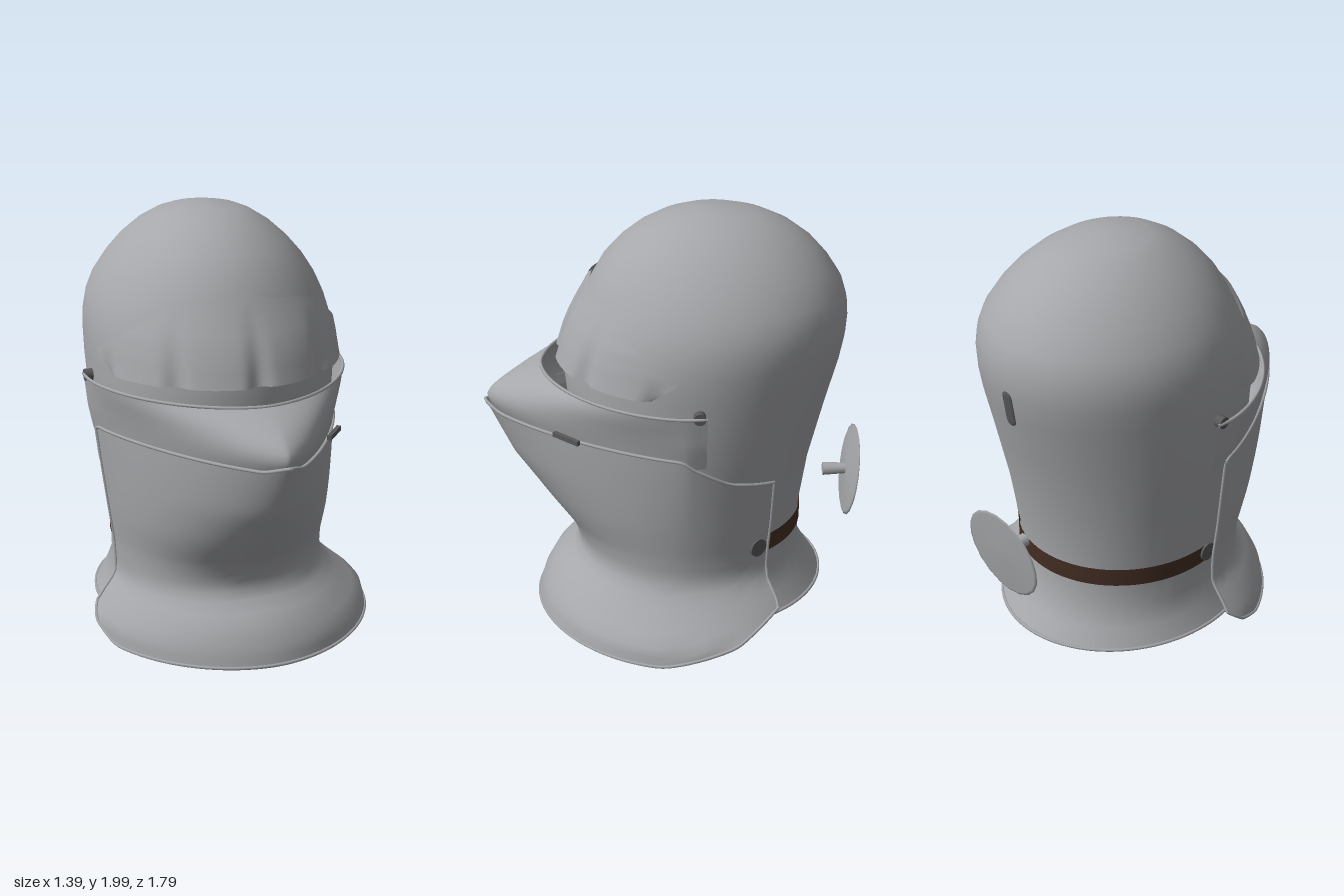
import * as THREE from 'three';
import { mergeVertices } from 'three/addons/utils/BufferGeometryUtils.js';

const DEG = Math.PI / 180;

// Linear lookup in rows [key, value, value...] sorted by rising key
function lookup(rows, key) {
  if (key <= rows[0][0]) return rows[0].slice(1);
  for (let i = 1; i < rows.length; i++) {
    const a = rows[i - 1], b = rows[i];
    if (key <= b[0]) {
      const t = (key - a[0]) / (b[0] - a[0]);
      return a.slice(1).map((v, k) => v + (b[k + 1] - v) * t);
    }
  }
  return rows[rows.length - 1].slice(1);
}

// Smooth sheet from point(u, v) -> [x, y, z]
function sheet(nu, nv, point) {
  const pos = [], index = [];
  for (let j = 0; j <= nv; j++)
    for (let i = 0; i <= nu; i++) pos.push(...point(i / nu, j / nv));
  for (let j = 0; j < nv; j++)
    for (let i = 0; i < nu; i++) {
      const a = j * (nu + 1) + i, b = a + 1, c = a + nu + 1, d = c + 1;
      index.push(a, b, d, a, d, c);
    }
  let geo = new THREE.BufferGeometry();
  geo.setAttribute('position', new THREE.Float32BufferAttribute(pos, 3));
  geo.setIndex(index);
  geo = mergeVertices(geo, 1e-5);
  geo.computeVertexNormals();
  return geo;
}

// Skull sections: y, back z, front z, half width
const SKULL = [
  [0.11, -0.73, 0.56, 0.57], [0.2, -0.67, 0.48, 0.52], [0.3, -0.615, 0.42, 0.485],
  [0.5, -0.61, 0.43, 0.487], [0.8, -0.65, 0.47, 0.54], [1.1, -0.72, 0.5, 0.568],
  [1.31, -0.775, 0.52, 0.578], [1.42, -0.795, 0.49, 0.576], [1.5, -0.8, 0.46, 0.57],
  [1.58, -0.793, 0.42, 0.55], [1.66, -0.768, 0.38, 0.515],
  [1.75, -0.71, 0.33, 0.455], [1.83, -0.64, 0.26, 0.385], [1.9, -0.55, 0.175, 0.305],
  [1.95, -0.45, 0.085, 0.225], [1.975, -0.365, 0.01, 0.165], [1.993, -0.27, -0.08, 0.08],
  [2.0, -0.17, -0.17, 0],
];
function skullPoint(a, y, scale = 1) {
  const [back, front, w] = lookup(SKULL, y);
  const mid = (back + front) / 2, d = (front - back) / 2;
  return [w * Math.sin(a) * scale, y, mid + d * Math.cos(a) * scale];
}

// Plate sections: y, front z, half width, keel sharpness (2 = round), back depth, side shift
const BEVOR = [
  [0.02, 0.67, 0.7, 1.9, 0.67, 0.05], [0.1, 0.65, 0.69, 1.9, 0.67, 0.045],
  [0.2, 0.59, 0.595, 1.95, 0.64, 0.02], [0.28, 0.49, 0.525, 2, 0.58, 0.01],
  [0.34, 0.46, 0.51, 2, 0.57, 0], [0.45, 0.5, 0.515, 1.9, 0.575, 0],
  [0.6, 0.62, 0.535, 1.75, 0.59, 0], [0.8, 0.77, 0.56, 1.5, 0.6, 0],
  [1.06, 0.89, 0.59, 1.3, 0.61, 0],
];
const VISOR = [
  [0.98, 0.82, 0.575, 1.36, 0.6, 0], [1.05, 0.87, 0.59, 1.32, 0.6, 0],
  [1.1, 0.88, 0.6, 1.32, 0.6, 0], [1.15, 0.83, 0.605, 1.4, 0.6, 0],
  [1.2, 0.74, 0.61, 1.55, 0.6, 0], [1.25, 0.62, 0.615, 1.75, 0.6, 0],
];
function platePoint(table, a, y) {
  const [front, w, p, back, shift] = lookup(table, y);
  const s = Math.sin(a), c = Math.cos(a), e = c > 0 ? 2 / p : 1;
  const z = c > 0 ? (front + 0.05) * c ** e : back * c;
  return [Math.sign(s) * w * Math.abs(s) ** e + shift, y, z - 0.05];
}

// Edge heights of the plates
const BEVOR_TOP = [[-0.65, 0.82], [-0.3, 0.88], [0, 0.99], [0.12, 1.02], [0.96, 1.03], [1, 1.06]];
const BEVOR_LOW_LEFT = [[-0.65, 0.17], [-0.3, 0.09], [0.2, 0.02], [1, 0.02]];
const BEVOR_LOW_RIGHT = [[0.07, 0.15], [0.2, 0.08], [0.4, 0.02], [1, 0.02]];
const BROW_TOP = [[0, 1.705], [8, 1.665], [35, 1.64], [60, 1.5], [77, 1.4]];

export function createModel() {
  const root = new THREE.Group();
  const paint = (name, color) => {
    const m = new THREE.MeshStandardMaterial({ color, side: THREE.DoubleSide });
    m.name = name;
    return m;
  };
  const steel = paint('steel', 0xa6a7aa);
  const dark = paint('darkSteel', 0x5a5959);
  const leather = paint('leather', 0x432d23);
  const lining = paint('lining', 0x645e5a);
  const add = (name, geo, mat, parent = root) => {
    const mesh = new THREE.Mesh(geo, mat);
    mesh.name = name;
    parent.add(mesh);
    return mesh;
  };
  // Thin rolled edge along a path
  const lip = (name, point, n = 48) => {
    const pts = [];
    for (let i = 0; i <= n; i++) pts.push(new THREE.Vector3(...point(i / n)));
    add(name, new THREE.TubeGeometry(new THREE.CatmullRomCurve3(pts), n * 2, 0.008, 6), steel);
  };

  // Skull
  add('skull', sheet(48, SKULL.length - 1, (u, v) =>
    skullPoint(u * 2 * Math.PI, SKULL[Math.round(v * (SKULL.length - 1))][0])), steel);
  lip('skullRim', u => skullPoint(u * 2 * Math.PI, 0.115));

  // Lining panels, leaving bare steel between them: from angle, to angle, top
  for (const [from, to, top] of [[50, 225, 1.96], [262, 375, 1.96], [15, 50, 0.4]])
    add('liningPanel', sheet(24, 24, (u, v) =>
      skullPoint((from + u * (to - from)) * DEG, 0.13 + v * (top - 0.13), 0.975)), lining);

  // Bevor: throat and chin plate, wrapping further round the left side
  const bevor = (u, v) => {
    const a = (-86 + u * 217) * DEG, c = Math.cos(a);
    const low = lookup(a > 0 ? BEVOR_LOW_LEFT : BEVOR_LOW_RIGHT, c)[0];
    const top = lookup(BEVOR_TOP, c)[0];
    return platePoint(BEVOR, a, low + (top - low) * v);
  };
  add('bevor', sheet(60, 24, bevor), steel);
  lip('bevorTopEdge', u => bevor(u, 1), 60);
  lip('bevorBottomEdge', u => bevor(u, 0), 60);
  lip('bevorLeftEdge', v => bevor(1, v), 24);
  lip('bevorRightEdge', v => bevor(0, v), 24);

  // Keeled visor below the eye slit
  const visor = (u, v) => platePoint(VISOR, (u * 2 - 1) * 97 * DEG, 0.98 + v * 0.27);
  add('visor', sheet(48, 10, visor), steel);
  lip('visorTopEdge', u => visor(u, 1));

  // Brow plate with a pointed top edge and flutes that deepen towards the bottom
  const brow = (u, v) => {
    const side = u * 2 - 1, deg = side * (68 + 9 * v);
    const top = lookup(BROW_TOP, Math.abs(side) * 77)[0];
    const groove = Math.max(0, Math.cos(deg * 360 / 35 * DEG)) ** 3 * (1 - v) ** 1.5;
    return skullPoint(deg * DEG, 1.31 + (top - 1.31) * v, 1.05 - 0.02 * v - 0.045 * groove);
  };
  add('browPlate', sheet(84, 10, brow), steel);

  // Leather strap round the nape, with its turned-in end inside the right wall
  const strap = (name, from, to, scale) => add(name, sheet(32, 1, (u, v) =>
    skullPoint((from + u * (to - from)) * DEG, 0.42 + v * 0.09, scale)), leather);
  strap('strap', 122, 275, 1.012);
  strap('strapInnerEnd', 232, 262, 0.97);

  // Flat strap studs and visor pivots
  const studAt = (name, x, y, z, r, len, yaw) => {
    const geo = new THREE.CylinderGeometry(r, r, len, 16).rotateZ(Math.PI / 2);
    const stud = add(name, geo, dark);
    stud.position.set(x, y, z);
    stud.rotation.y = yaw;
  };
  studAt('leftStrapStud', 0.432, 0.47, -0.38, 0.045, 0.012, 0.62);
  studAt('rightStrapStud', -0.497, 0.47, -0.04, 0.045, 0.012, 0);
  for (const side of [-1, 1])
    studAt('visorPivot', side * 0.597, 1.25, -0.09, 0.028, 0.036, 0);

  // Catch between visor and bevor
  const lug = add('visorCatch', new THREE.BoxGeometry(0.15, 0.022, 0.02), dark);
  lug.position.set(0.375, 1.042, 0.5);
  lug.rotation.y = 0.85;

  // Slot at the back of the skull
  const slot = add('backSlot', new THREE.CapsuleGeometry(0.03, 0.12, 4, 12).scale(1, 1, 0.22), dark);
  slot.position.set(0, 1.36, -0.785);
  slot.rotation.x = -0.14;

  // Rondel: shallow disc on a short stem behind the nape
  const rondel = new THREE.Group();
  rondel.name = 'rondel';
  root.add(rondel);
  const profile = [[0, 0], [0.05, 0.003], [0.21, 0.018], [0.224, 0.023], [0.21, 0.028], [0, 0.034]]
    .map(([x, y]) => new THREE.Vector2(x, y));
  const disc = add('rondelDisc', new THREE.LatheGeometry(profile, 20).rotateX(-Math.PI / 2), steel, rondel);
  disc.position.set(0, 0.637, -0.838);
  disc.rotation.x = -0.125;
  const stem = add('rondelStem', new THREE.CylinderGeometry(0.026, 0.032, 0.11, 12).rotateX(-Math.PI / 2), steel, rondel);
  stem.position.set(0, 0.64, -0.785);

  // The helmet sits slightly to its right
  for (const part of root.children) part.position.x -= 0.05;
  return root;
}
